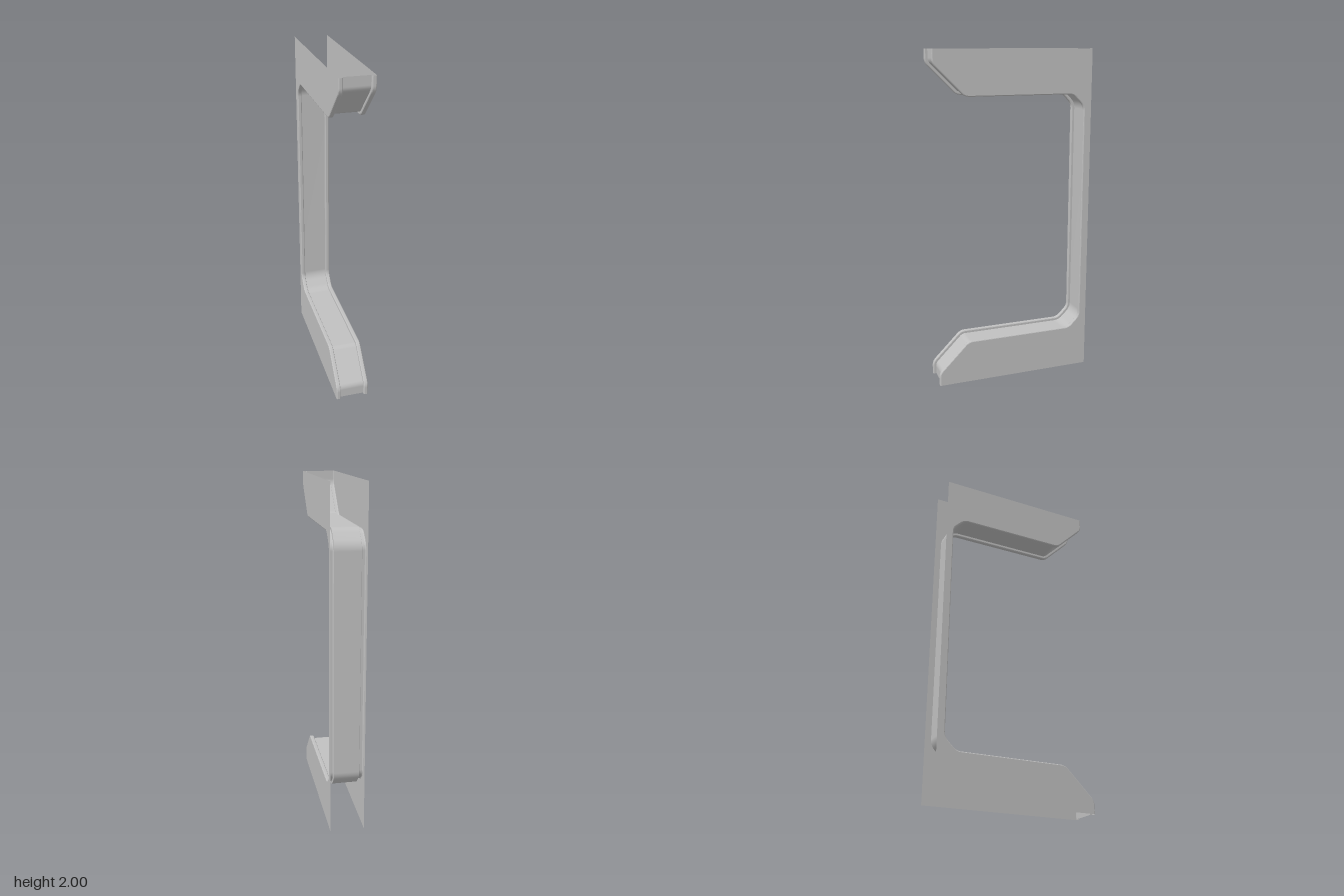
import * as THREE from 'three';
import { mergeGeometries } from 'three/addons/utils/BufferGeometryUtils.js';

const HALF_WIDTH = 0.1, RIM_INNER = 0.074, RECESS = 0.018, ROUND = 0.006;
const BACK = -0.483, HEIGHT = 2, BEND = 0.065;

// Corners of the C-shaped inner edge as [z, y]; the upper half mirrors the lower
const lower = [[0.483, 0], [0.483, 0.078], [0.298, 0.263], [-0.367, 0.263], [-0.437, 0.333]];
const corners = [...lower, ...lower.map(([z, y]) => [z, HEIGHT - y]).reverse()];

// Samples the edge with rounded bends; each sample holds its point and the normal into the body
function edgePath() {
  const out = [];
  const add = (z, y, a) => out.push({ z, y, nz: -Math.sin(a), ny: Math.cos(a) });
  const heading = (p, q) => Math.atan2(q[1] - p[1], q[0] - p[0]);
  const last = corners.length - 1;
  add(...corners[0], heading(corners[0], corners[1]));
  for (let i = 1; i < last; i++) {
    const a0 = heading(corners[i - 1], corners[i]);
    const a1 = heading(corners[i], corners[i + 1]);
    const turn = Math.atan2(Math.sin(a1 - a0), Math.cos(a1 - a0));
    const r = BEND * Math.sign(turn);
    const t = BEND * Math.tan(Math.abs(turn) / 2);
    const cz = corners[i][0] - Math.cos(a0) * t - Math.sin(a0) * r;
    const cy = corners[i][1] - Math.sin(a0) * t + Math.cos(a0) * r;
    for (let k = 0; k <= 6; k++) {
      const a = a0 + turn * k / 6;
      add(cz + Math.sin(a) * r, cy - Math.cos(a) * r, a);
    }
  }
  add(...corners[last], heading(corners[last - 1], corners[last]));
  return out;
}

// Sweeps a section of [x, depth] points along the edge: smooth lengthwise, crisp across
function sweep(path, section) {
  const strips = [];
  for (let j = 0; j + 1 < section.length; j++) {
    const pos = [], index = [];
    path.forEach((p, i) => {
      for (const [x, d] of [section[j], section[j + 1]]) pos.push(x, p.y + p.ny * d, p.z + p.nz * d);
      if (i + 1 < path.length) {
        const a = i * 2;
        index.push(a, a + 2, a + 1, a + 1, a + 2, a + 3);
      }
    });
    const g = new THREE.BufferGeometry();
    g.setAttribute('position', new THREE.Float32BufferAttribute(pos, 3));
    g.setIndex(index);
    g.computeVertexNormals();
    strips.push(g);
  }
  return mergeGeometries(strips);
}

export function createModel() {
  const model = new THREE.Group();
  model.name = 'channelFrame';
  const grey = new THREE.MeshStandardMaterial({ color: 0xc0c0c0, side: THREE.DoubleSide });
  grey.name = 'grey';
  const path = edgePath();

  // Recessed floor of the channel
  const floor = new THREE.Mesh(sweep(path, [[RIM_INNER, RECESS], [-RIM_INNER, RECESS]]), grey);
  floor.name = 'channelFloor';
  model.add(floor);

  // Raised rim with softened edges, and the step down to the floor
  const rimGeometry = sweep(path, [
    [HALF_WIDTH, ROUND], [0.098, 0.002], [0.094, 0],
    [0.08, 0], [0.076, 0.002], [RIM_INNER, ROUND], [RIM_INNER, RECESS],
  ]);

  // Flat side sheet, open at the back, top and bottom
  const outline = path.map(p => new THREE.Vector2(p.z + p.nz * ROUND, p.y + p.ny * ROUND));
  outline.push(new THREE.Vector2(BACK, HEIGHT), new THREE.Vector2(BACK, 0));
  const plateGeometry = new THREE.ShapeGeometry(new THREE.Shape(outline));
  plateGeometry.rotateY(-Math.PI / 2).translate(-HALF_WIDTH, 0, 0);

  for (const [side, s] of [['left', 1], ['right', -1]]) {
    const rim = new THREE.Mesh(rimGeometry, grey);
    rim.name = side + 'Rim';
    rim.scale.x = s;
    const plate = new THREE.Mesh(plateGeometry, grey);
    plate.name = side + 'SidePlate';
    plate.scale.x = -s;
    model.add(rim, plate);
  }
  return model;
}
